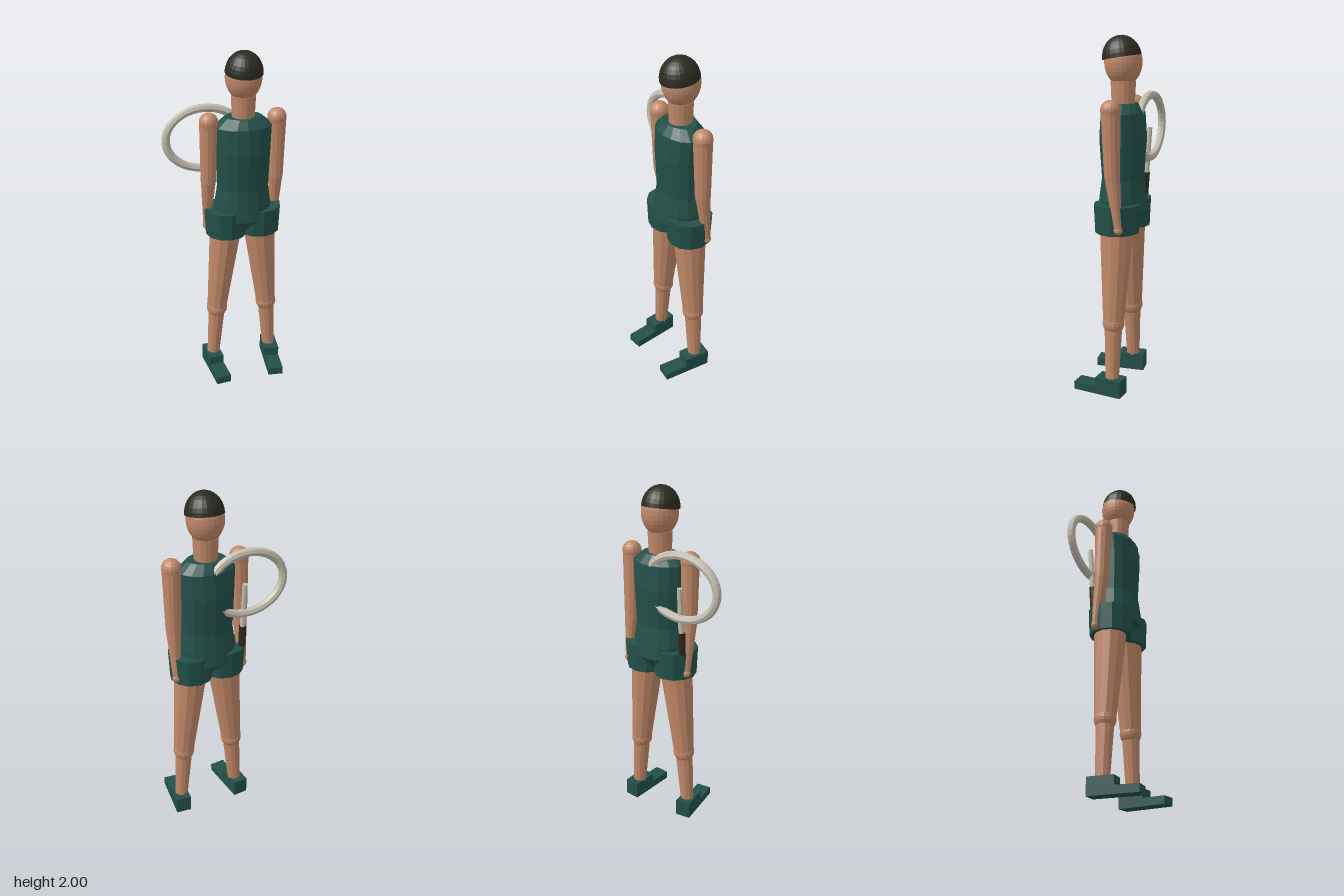
import * as THREE from 'three';

const flat = (name, color) => {
  const m = new THREE.MeshStandardMaterial({ color, flatShading: true });
  m.name = name;
  return m;
};

export function createModel() {
  const skin = flat('skin', 0xc08868);
  const cloth = flat('greenCloth', 0x235049);
  const hairMat = flat('darkHair', 0x2c2b20);
  const metal = flat('paleMetal', 0xc4beb0);
  const V = (x, y, z) => new THREE.Vector3(x, y, z);

  const model = new THREE.Group();
  model.name = 'figure';
  // The figure stands to one side of the origin, balancing the ring
  const body = new THREE.Group();
  body.name = 'body';
  body.position.set(0.098, 0, -0.043);
  model.add(body);

  const add = (name, geo, mat, parent = body) => {
    const mesh = new THREE.Mesh(geo, mat);
    mesh.name = name;
    parent.add(mesh);
    return mesh;
  };
  // Tapered cylinder from point a to point b
  const limb = (name, a, b, ra, rb, mat, sides = 12, parent = body) => {
    const dir = b.clone().sub(a);
    const mesh = add(name, new THREE.CylinderGeometry(rb, ra, dir.length(), sides), mat, parent);
    mesh.position.copy(a).add(b).multiplyScalar(0.5);
    mesh.quaternion.setFromUnitVectors(V(0, 1, 0), dir.normalize());
    return mesh;
  };
  const ball = (name, p, r, mat, parent = body) => {
    const mesh = add(name, new THREE.SphereGeometry(r, 16, 12), mat, parent);
    mesh.position.copy(p);
    return mesh;
  };

  // Torso: elliptical rings [height, half width, half depth]
  const rings = [
    [0.945, 0.05, 0.05], [1.045, 0.155, 0.138], [1.12, 0.167, 0.128], [1.23, 0.151, 0.113],
    [1.45, 0.157, 0.128], [1.59, 0.164, 0.116], [1.64, 0.105, 0.08],
  ];
  const profile = [[0.945, 0, 0], ...rings, [1.64, 0, 0]];
  const torso = new THREE.LatheGeometry(profile.map(r => new THREE.Vector2(r[1], r[0])), 16);
  const pos = torso.attributes.position;
  for (let i = 0; i < pos.count; i++) {
    const [, w, d] = profile[i % profile.length];
    if (w > 0) pos.setZ(i, pos.getZ(i) * d / w);
  }
  add('torso', torso, cloth);

  // Head, neck and hair cap
  limb('neck', V(0, 1.62, 0), V(0, 1.76, 0), 0.063, 0.069, skin, 16);
  const head = add('head', new THREE.SphereGeometry(1, 24, 16), skin);
  head.scale.set(0.101, 0.128, 0.104);
  head.position.set(0, 1.858, 0);
  const hair = add('hair', new THREE.SphereGeometry(1, 24, 8, 0, Math.PI * 2, 0, Math.PI / 2), hairMat);
  hair.material.side = THREE.DoubleSide;
  hair.scale.set(0.104, 0.117, 0.108);
  hair.position.set(0, 1.883, 0.008);
  hair.rotation.x = 0.15;

  for (const s of [-1, 1]) {
    const side = s > 0 ? 'left' : 'right';

    // Arm
    const shoulder = V(s * 0.195, 1.618, 0), elbow = V(s * 0.199, 1.265, -0.01), hand = V(s * 0.203, 0.975, -0.045);
    ball(side + 'Shoulder', shoulder, 0.054, skin);
    limb(side + 'UpperArm', shoulder, elbow, 0.052, 0.043, skin);
    ball(side + 'Elbow', elbow, 0.042, skin);
    limb(side + 'Forearm', elbow, hand, 0.042, 0.021, skin);
    ball(side + 'Hand', hand, 0.025, skin);

    // Shorts and leg
    const hip = V(s * 0.098, 1.0, 0), knee = V(s * 0.157, 0.43, 0), ankle = V(s * 0.182, 0.09, 0);
    limb(side + 'ShortsLeg', V(s * 0.096, 0.94, 0), V(s * 0.096, 1.1, 0), 0.123, 0.13, cloth);
    limb(side + 'Thigh', hip, knee, 0.097, 0.06, skin);
    ball(side + 'Knee', V(s * 0.157, 0.422, 0), 0.063, skin);
    limb(side + 'Shin', knee, ankle, 0.052, 0.039, skin);

    // Shoe, toes turned slightly inwards
    const shoe = new THREE.Group();
    shoe.name = side + 'Shoe';
    shoe.position.set(s * 0.181, 0, 0.075);
    shoe.rotation.y = -s * 0.1;
    body.add(shoe);
    add('sole', new THREE.BoxGeometry(0.09, 0.046, 0.293), cloth, shoe).position.y = 0.023;
    add('ankleCuff', new THREE.BoxGeometry(0.09, 0.056, 0.155), cloth, shoe).position.set(0, 0.073, -0.069);
  }

  // Oval ring carried behind the right shoulder
  class Oval extends THREE.Curve {
    getPoint(t, target = new THREE.Vector3()) {
      const a = t * Math.PI * 2;
      return target.set(0.222 * Math.cos(a), 0.177 * Math.sin(a), 0);
    }
  }
  add('ring', new THREE.TubeGeometry(new Oval(), 40, 0.024, 8, true), metal, model).position.set(-0.1, 1.495, -0.135);

  // Short rod with a dark grip behind the right arm
  const rodLow = V(-0.09, 1.1, -0.108), rodMid = V(-0.09, 1.23, -0.117), rodTop = V(-0.09, 1.49, -0.135);
  limb('rodGrip', rodLow, rodMid, 0.021, 0.021, hairMat, 8, model);
  limb('rod', rodMid, rodTop, 0.017, 0.015, metal, 8, model);

  return model;
}
